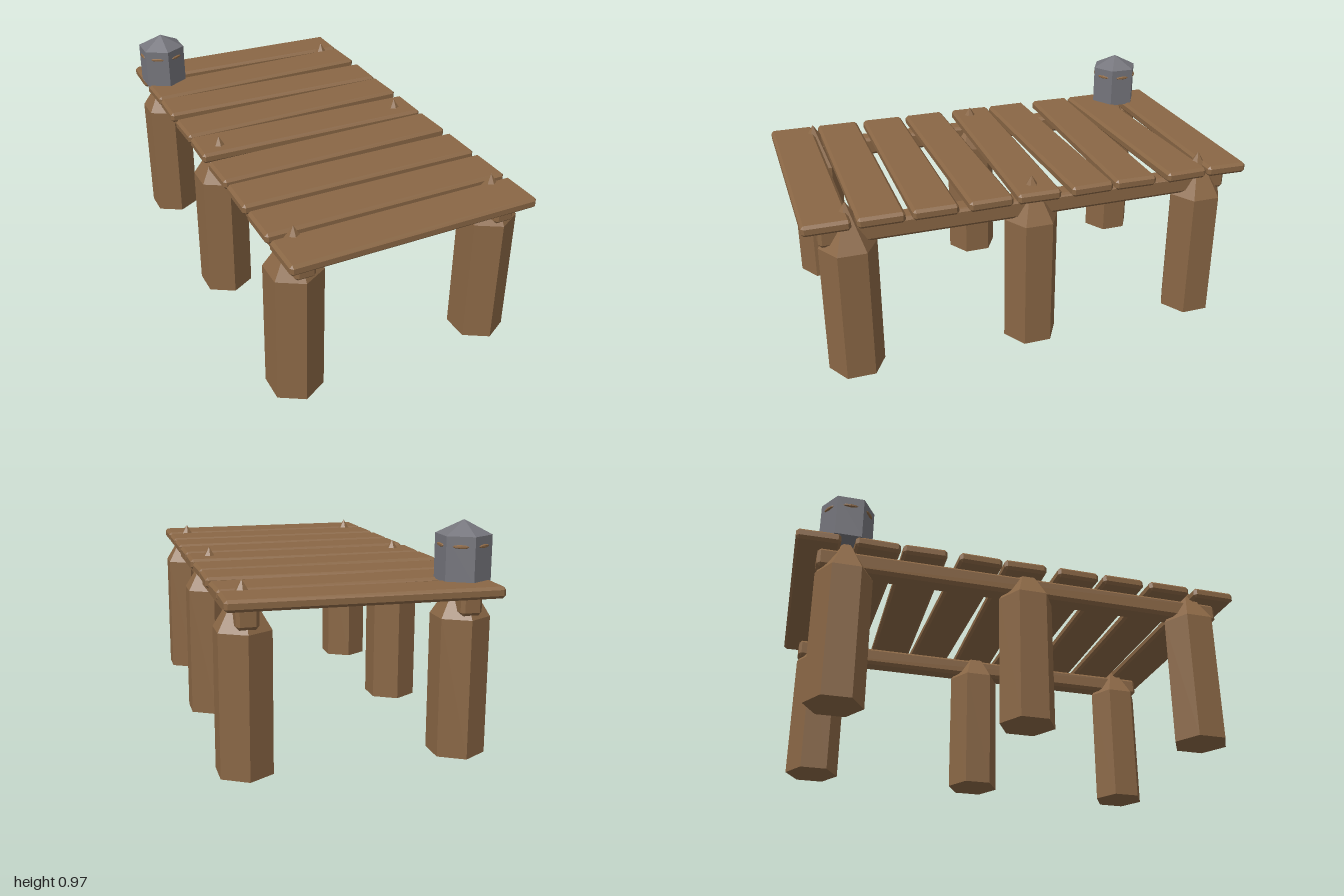
import * as THREE from 'three';
import { ConvexGeometry } from 'three/addons/geometries/ConvexGeometry.js';

// Box with all edges cut at 45 degrees
function chamferBox(w, h, d, c) {
  const points = [];
  const half = [w / 2, h / 2, d / 2];
  for (const sx of [-1, 1]) for (const sy of [-1, 1]) for (const sz of [-1, 1]) {
    for (let axis = 0; axis < 3; axis++) {
      const p = half.map((v, i) => (i === axis ? v : v - c));
      points.push(new THREE.Vector3(p[0] * sx, p[1] * sy, p[2] * sz));
    }
  }
  return new ConvexGeometry(points);
}

// Hexagonal column with a pointed top, as one lathe
function hexColumn(radius, bottom, shoulder, tip) {
  const profile = [[0, bottom], [radius, bottom], [radius, shoulder], [0, tip]];
  const geo = new THREE.LatheGeometry(profile.map(([x, y]) => new THREE.Vector2(x, y)), 6).toNonIndexed();
  geo.computeVertexNormals();
  return geo;
}

export function createModel() {
  const wood = new THREE.MeshStandardMaterial({ color: 0x8a6745, flatShading: true });
  wood.name = 'wood';
  const iron = new THREE.MeshStandardMaterial({ color: 0x75757c, flatShading: true });
  iron.name = 'greyMetal';

  const model = new THREE.Group();
  model.name = 'dock';
  const add = (parent, name, geo, mat, x = 0, y = 0, z = 0) => {
    const mesh = new THREE.Mesh(geo, mat);
    mesh.name = name;
    mesh.position.set(x, y, z);
    parent.add(mesh);
    return mesh;
  };

  // Pointed posts and the long rails they carry
  const postGeo = hexColumn(0.121, 0, 0.58, 0.77);
  const railGeo = chamferBox(0.09, 0.086, 1.825, 0.014);
  for (const x of [-0.447, 0.447]) {
    for (const z of [0.8, 0.01, -0.785]) add(model, 'post', postGeo, wood, x, 0, z);
    add(model, 'rail', railGeo, wood, x, 0.64, 0.008);
  }

  // Deck planks: z at the -x end, z at the +x end, width
  const planks = [
    [-0.908, -0.882, 0.185], [-0.66, -0.684, 0.19], [-0.46, -0.437, 0.19],
    [-0.215, -0.235, 0.19], [-0.015, 0.005, 0.19], [0.23, 0.215, 0.19],
    [0.445, 0.45, 0.192], [0.67, 0.672, 0.194], [0.893, 0.89, 0.196],
  ];
  for (const [zl, zr, width] of planks) {
    const plank = add(model, 'plank', chamferBox(1.088, 0.047, width, 0.012), wood, 0, 0.707, (zl + zr) / 2);
    plank.rotation.y = -Math.atan2(zr - zl, 1.08);
  }

  // Hexagonal lantern with a slit on every face
  const lantern = new THREE.Group();
  lantern.name = 'lantern';
  lantern.position.set(-0.449, 0, -0.79);
  model.add(lantern);
  add(lantern, 'lanternBody', hexColumn(0.113, 0.725, 0.91, 0.967), iron);
  const slitGeo = new THREE.SphereGeometry(1, 6, 4).rotateZ(Math.PI / 2).scale(0.033, 0.008, 0.008);
  for (let i = 0; i < 6; i++) {
    const a = Math.PI / 6 + i * Math.PI / 3;
    const slit = add(lantern, 'lanternSlit', slitGeo, wood, Math.sin(a) * 0.098, 0.87, Math.cos(a) * 0.098);
    slit.rotation.y = a;
  }
  return model;
}
